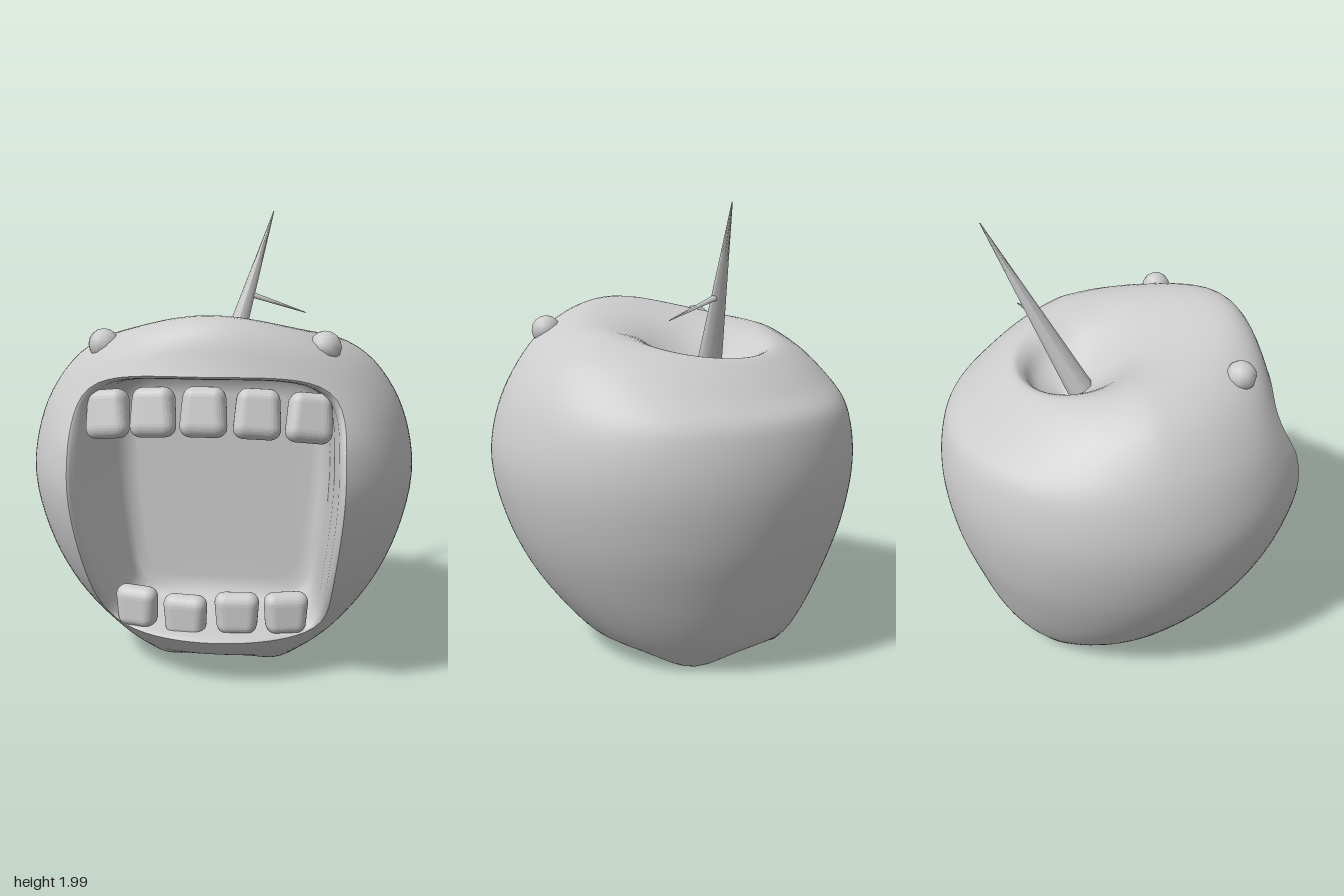
import * as THREE from 'three';
import { RoundedBoxGeometry } from 'three/addons/geometries/RoundedBoxGeometry.js';

const SEG = 112, RINGS = 64;
const { smoothstep, lerp } = THREE.MathUtils;
const material = () => new THREE.MeshStandardMaterial({ color: 0xcccccc, side: THREE.DoubleSide });

// Apple profile from bottom to stem pit: radius, height, z of the ring's centre
const profile = new THREE.CatmullRomCurve3([
  [0, 0.11, -0.07], [0.2, 0.07, -0.07], [0.35, 0.015, -0.06], [0.45, 0.085, -0.03], [0.56, 0.21, 0.01],
  [0.685, 0.4, 0.06], [0.78, 0.62, 0.085], [0.83, 0.87, 0.1], [0.81, 1.06, 0.1], [0.745, 1.23, 0.1],
  [0.62, 1.38, 0.08], [0.45, 1.455, 0.04], [0.29, 1.43, -0.06], [0.14, 1.32, -0.15], [0, 1.22, -0.18],
].map(p => new THREE.Vector3(...p)));

// Point on the apple skin for a direction: alpha measured from the front, phi around it
function skin(alpha, phi) {
  const dx = Math.sin(alpha) * Math.cos(phi), dy = Math.sin(alpha) * Math.sin(phi), dz = Math.cos(alpha);
  const lat = Math.asin(THREE.MathUtils.clamp(dy, -1, 1)), lon = Math.atan2(dx, dz);
  const p = profile.getPoint(lat / Math.PI + 0.5);
  const r = Math.max(p.x, 0), x = r * Math.sin(lon);
  let y = p.y, z = p.z + r * Math.cos(lon);
  const top = smoothstep(y, 1.08, 1.45);
  // the brow is high in the middle, the back slopes down
  y += top * z * (z > 0 ? 0.235 * Math.exp(-((x / 0.55) ** 2)) : 0.25);
  // flatten the upper lip
  z -= 0.75 * smoothstep(p.y, 1.05, 1.3) * Math.max(0, z - 0.4) ** 2;
  // four soft lobes underneath
  if (lat < 0) y += 0.04 * (1 + Math.cos(4 * lon)) * Math.exp(-(((r - 0.33) / 0.1) ** 2));
  return new THREE.Vector3(x, y, z);
}

// Mouth outline: a rounded rectangle, arched on top and narrower towards the chin
function insideMouth(p) {
  const w = 0.55 - 0.06 * smoothstep(0.95 - p.y, 0, 0.7);
  const power = p.y > 0.785 ? 4 : 8;
  return p.z > 0 && Math.abs(p.x / w) ** power + Math.abs((p.y - 0.785) / 0.565) ** 7 < 1;
}

function rimAngle(phi) {
  let lo = 0, hi = Math.PI * 0.6;
  for (let i = 0; i < 30; i++) {
    const mid = (lo + hi) / 2;
    if (insideMouth(skin(mid, phi))) lo = mid; else hi = mid;
  }
  return lo;
}

// Surface through closed loops of points
function loft(loops, flip) {
  const n = loops[0].length, index = [];
  for (let i = 0; i < loops.length - 1; i++) for (let j = 0; j < n; j++) {
    const k = (j + 1) % n, a = i * n + j, b = (i + 1) * n + j, c = (i + 1) * n + k, d = i * n + k;
    if (flip) index.push(a, c, b, a, d, c); else index.push(a, b, c, a, c, d);
  }
  const g = new THREE.BufferGeometry().setFromPoints(loops.flat());
  g.setIndex(index);
  g.computeVertexNormals();
  return g;
}

// Tapered spike between two points
function spike(name, from, to, radius, sides) {
  const a = new THREE.Vector3(...from), b = new THREE.Vector3(...to), dir = b.clone().sub(a);
  const mesh = new THREE.Mesh(new THREE.CylinderGeometry(0.002, radius, dir.length(), sides), material());
  mesh.name = name;
  mesh.position.copy(a).add(b).multiplyScalar(0.5);
  mesh.quaternion.setFromUnitVectors(new THREE.Vector3(0, 1, 0), dir.normalize());
  return mesh;
}

// Rounded tooth, narrower at the gum; grow is +1 when the biting edge is up
function tooth(name, w, h, grow) {
  const g = new RoundedBoxGeometry(w, h, 0.1, 4, 0.046), pos = g.attributes.position;
  for (let i = 0; i < pos.count; i++) {
    const t = grow * pos.getY(i) / h;
    pos.setX(i, pos.getX(i) * (0.95 + 0.14 * t));
    pos.setZ(i, pos.getZ(i) * (1 - 0.3 * t));
  }
  g.computeVertexNormals();
  const mesh = new THREE.Mesh(g, material());
  mesh.name = name;
  return mesh;
}

export function createModel() {
  const group = new THREE.Group();
  const add = (name, geometry) => {
    const mesh = new THREE.Mesh(geometry, material());
    mesh.name = name;
    group.add(mesh);
    return mesh;
  };

  // Apple body, swept from the mouth rim to the back
  const phis = Array.from({ length: SEG }, (_, j) => (j / SEG) * Math.PI * 2);
  const rimAngles = phis.map(rimAngle);
  const loops = [];
  for (let i = 0; i <= RINGS; i++) {
    loops.push(phis.map((phi, j) => skin(lerp(rimAngles[j], Math.PI, i / RINGS), phi)));
  }
  add('body', loft(loops, false));

  // Mouth cavity: lip edge, tapering walls, back wall (x scale, y scale, share of the depth)
  const cavity = [[1, 1, 0], [0.975, 0.985, 0.01], [0.95, 0.975, 0.06], [0.91, 0.955, 0.3],
    [0.87, 0.93, 0.7], [0.84, 0.9, 0.92], [0.79, 0.84, 0.99], [0.7, 0.74, 1], [0.35, 0.37, 1], [0, 0, 1]];
  add('mouthCavity', loft(cavity.map(([sx, sy, t]) => loops[0].map(p =>
    new THREE.Vector3(p.x * sx, 0.785 + (p.y - 0.785) * sy, lerp(p.z, 0.15, t)))), true));

  // Upper teeth on an arc, biting edge forward
  [-0.41, -0.215, -0.01, 0.2, 0.4].forEach(x => {
    const t = tooth('upperTooth', 0.19, 0.2, -1);
    t.position.set(x, 1.205 - 0.16 * x * x, 0.645 - 0.4 * x * x);
    t.rotation.set(-0.3, x * 0.8, x * -0.3, 'YXZ');
    group.add(t);
  });

  // Lower teeth
  [-0.335, -0.12, 0.1, 0.305].forEach((x, i) => {
    const t = tooth('lowerTooth', 0.19, 0.18, 1);
    t.position.set(x, i === 1 ? 0.295 : 0.315, 0.465 - 0.35 * x * x);
    t.rotation.set(0.08, x * 0.8, 0, 'YXZ');
    group.add(t);
  });

  // Small bulging eyes
  for (const side of [-1, 1]) {
    const eye = add(side > 0 ? 'leftEye' : 'rightEye', new THREE.SphereGeometry(0.066, 10, 8));
    eye.position.set(side * 0.453, 1.445, 0.445);
  }

  // Stem with a thin twig
  group.add(spike('stem', [-0.045, 1.2, -0.08], [0.17, 2, -0.46], 0.063, 8));
  group.add(spike('twig', [0.09, 1.61, -0.28], [0.34, 1.53, -0.275], 0.014, 5));
  return group;
}
